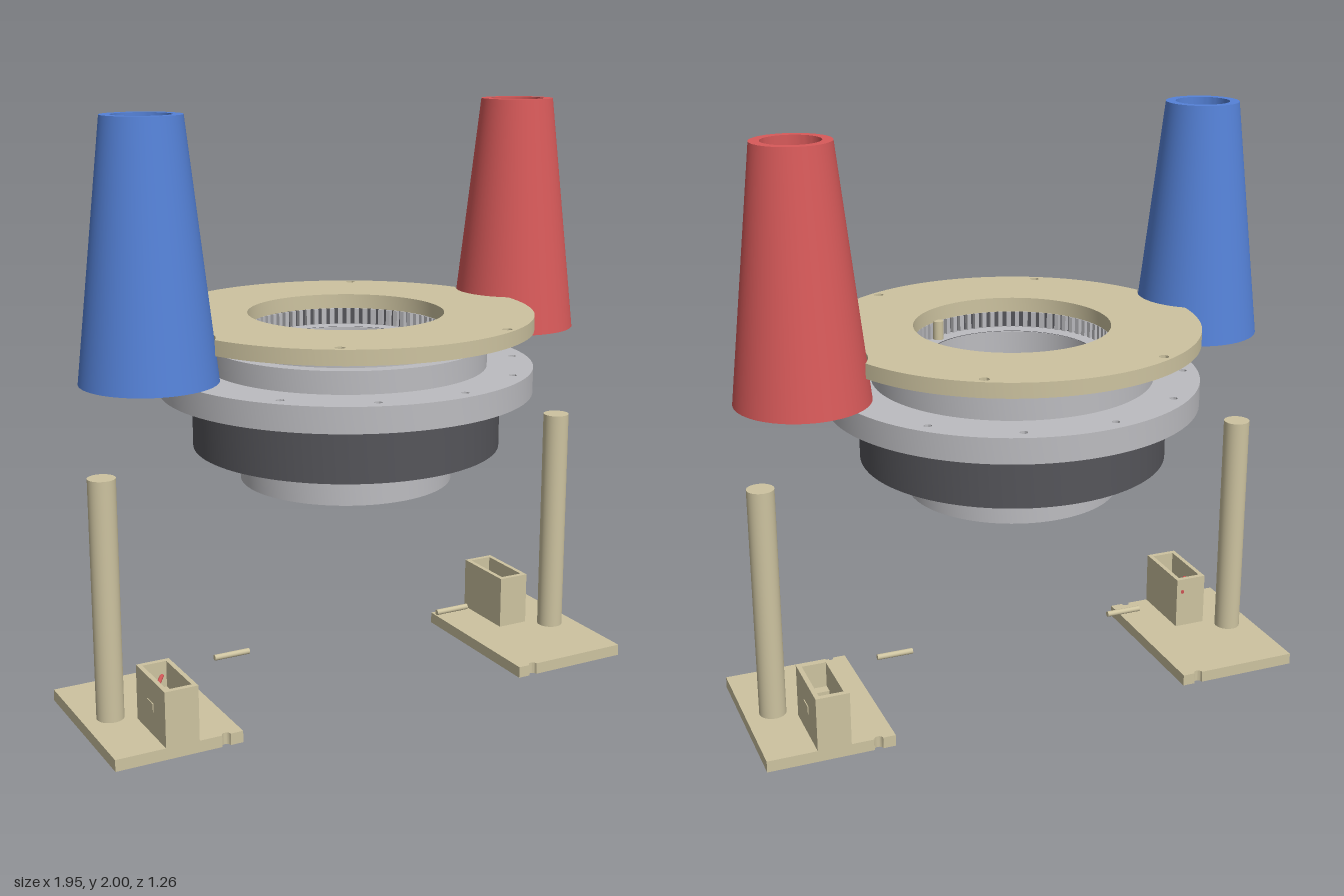
import * as THREE from 'three';
import { toCreasedNormals } from 'three/addons/utils/BufferGeometryUtils.js';

const mat = (name, color) => {
  const m = new THREE.MeshStandardMaterial({ color });
  m.name = name;
  return m;
};

export function createModel() {
  const sand = mat('sand', 0xcdc3a0);
  const lightGrey = mat('lightGrey', 0xbcbcc0);
  const darkGrey = mat('darkGrey', 0x55555a);
  const blue = mat('blue', 0x5582d8);
  const red = mat('red', 0xd85a5a);

  const model = new THREE.Group();
  model.name = 'ringAssembly';

  const add = (parent, name, geo, material, x = 0, y = 0, z = 0) => {
    const mesh = new THREE.Mesh(geo, material);
    mesh.name = name;
    mesh.position.set(x, y, z);
    parent.add(mesh);
    return mesh;
  };
  // Closed profile of [radius, height], listed counter-clockwise
  const turned = (pts, seg = 96) => toCreasedNormals(new THREE.LatheGeometry(
    [...pts, pts[0]].map(p => new THREE.Vector2(p[0], p[1])), seg), 0.6);
  // Flat slab: shape y becomes -z, thickness goes up
  const slab = (shape, h, seg = 48) => toCreasedNormals(new THREE.ExtrudeGeometry(
    shape, { depth: h, bevelEnabled: false, curveSegments: seg }).rotateX(-Math.PI / 2), 0.6);
  const hole = (x, y, r) => new THREE.Path().absarc(x, y, r, 0, Math.PI * 2, true);
  const rect = (P, x0, x1, y0, y1) => {
    const p = new P();
    p.moveTo(x0, y0); p.lineTo(x1, y0); p.lineTo(x1, y1); p.lineTo(x0, y1); p.closePath();
    return p;
  };
  // Instances spaced evenly around the axis
  const around = (n, radius, offset, fn) => {
    for (let i = 0; i < n; i++) {
      const a = offset + i * Math.PI * 2 / n;
      fn(Math.cos(a) * radius, Math.sin(a) * radius, a);
    }
  };

  // ---- Top plate, with a bite taken out around each cone ----
  const cx = 0.757, cz = 0.125, R = 0.63, r = 0.207;
  const D = Math.hypot(cx, cz), th = Math.atan2(cz, cx);
  const a = Math.acos((D * D + R * R - r * r) / (2 * D * R));
  const b = Math.acos((D * D + r * r - R * R) / (2 * D * r));
  const plate = new THREE.Shape();
  for (const t of [th, th + Math.PI]) {
    plate.absarc(0, 0, R, t + a, t + Math.PI - a, false);
    plate.absarc(-D * Math.cos(t), -D * Math.sin(t), r, t + b, t - b, true);
  }
  plate.holes.push(hole(0, 0, 0.33));
  for (const sx of [-1, 1]) for (const sy of [-1, 1]) plate.holes.push(hole(sx * 0.3, sy * 0.52, 0.016));
  add(model, 'topPlate', slab(plate, 0.05), sand, 0, 1.27);

  // ---- Bearing: flange, stepped collar, dark housing, hub ----
  const flange = new THREE.Shape();
  flange.absarc(0, 0, R, 0, Math.PI * 2, false);
  flange.holes.push(hole(0, 0, 0.352));
  around(12, 0.58, 0.2, (x, y) => flange.holes.push(hole(x, y, 0.013)));
  add(model, 'flange', slab(flange, 0.085), lightGrey, 0, 1.06);
  add(model, 'steppedCollar', turned([[0.355, 1.145], [0.475, 1.145], [0.475, 1.22],
    [0.43, 1.22], [0.43, 1.27], [0.355, 1.27]]), lightGrey);
  add(model, 'housing', turned([[0.336, 0.825], [0.336, 0.87], [0.52, 0.87],
    [0.52, 1.06], [0.32, 1.06], [0.32, 0.825]]), darkGrey);
  add(model, 'hub', turned([[0.16, 0.75], [0.36, 0.75], [0.36, 0.825], [0.335, 0.825],
    [0.335, 0.87], [0.352, 0.87], [0.352, 1.21], [0.285, 1.21], [0.285, 0.8], [0.16, 0.8]]), lightGrey);
  add(model, 'innerLiner', turned([[0.35, 1.2], [0.355, 1.2], [0.355, 1.27], [0.35, 1.27]]), darkGrey);
  add(model, 'ledgeGroove', new THREE.RingGeometry(0.281, 0.286, 96).rotateX(-Math.PI / 2), darkGrey, 0, 1.212);
  add(model, 'ledgePin', new THREE.CylinderGeometry(0.018, 0.018, 0.07, 16), sand, 0.165, 1.24, 0.275);

  // Teeth around the hub and inside the collar
  const outerTooth = new THREE.BoxGeometry(0.028, 0.045, 0.017);
  const innerTooth = new THREE.BoxGeometry(0.022, 0.055, 0.015);
  const teeth = new THREE.Group();
  teeth.name = 'teeth';
  model.add(teeth);
  around(80, 0.346, 0, (x, z, t) => {
    add(teeth, 'outerTooth', outerTooth, lightGrey, x, 0.8475, z).rotation.y = -t;
  });
  around(72, 0.343, 0, (x, z, t) => {
    add(teeth, 'innerTooth', innerTooth, lightGrey, x, 1.24, z).rotation.y = -t;
  });

  // Screw heads on the undersides
  const screw = new THREE.CylinderGeometry(0.016, 0.016, 0.008, 16);
  around(8, 0.45, 0.3, (x, z) => add(model, 'housingScrew', screw, lightGrey, x, 0.868, z));
  around(6, 0.27, 0.5, (x, z) => add(model, 'hubScrew', screw, lightGrey, x, 0.748, z));

  // ---- Stand and cone, repeated by a half turn ----
  const half = (name, turn, coneMat) => {
    const g = new THREE.Group();
    g.name = name;
    g.rotation.y = turn;
    model.add(g);

    // Foot with small notches in both long edges
    const foot = new THREE.Shape();
    foot.moveTo(0.538, -0.3);
    foot.lineTo(0.582, -0.3);
    foot.absarc(0.597, -0.3, 0.015, Math.PI, 0, true);
    foot.lineTo(0.975, -0.3);
    foot.lineTo(0.975, 0.3);
    foot.lineTo(0.612, 0.3);
    foot.absarc(0.597, 0.3, 0.015, 0, Math.PI, true);
    foot.lineTo(0.538, 0.3);
    foot.closePath();
    add(g, 'foot', slab(foot, 0.04, 8), sand);

    // Post
    add(g, 'post', new THREE.CylinderGeometry(0.046, 0.046, 0.83, 32), sand, 0.88, 0.445);

    // Open box with an inner step
    const box = rect(THREE.Shape, 0.69, 0.805, 0.052, 0.3);
    box.holes.push(rect(THREE.Path, 0.706, 0.789, 0.07, 0.282));
    add(g, 'box', slab(box, 0.19), sand, 0, 0.04);
    add(g, 'boxStep', new THREE.BoxGeometry(0.083, 0.1, 0.035), sand, 0.7475, 0.09, -0.0875);
    add(g, 'boxTab', new THREE.BoxGeometry(0.006, 0.03, 0.052), sand, 0.805, 0.137, -0.175);

    // Loose pin
    add(g, 'pin', new THREE.CylinderGeometry(0.01, 0.01, 0.128, 16).rotateZ(Math.PI / 2), sand, 0.44, 0.174);

    // Hollow cone
    add(g, 'cone', turned([[0.093, 1.185], [0.218, 1.185], [0.126, 2], [0.093, 2]], 64), coneMat, cx, 0, -cz);
    return g;
  };
  half('leftStand', 0, red);
  const right = half('rightStand', Math.PI, blue);

  // Thin red rod lying in the right-hand box
  const rod = add(right, 'rod', new THREE.CylinderGeometry(0.007, 0.007, 0.13, 12).rotateX(Math.PI / 2),
    red, 0.745, 0.18, -0.105);
  rod.rotation.y = -0.55;

  return model;
}
